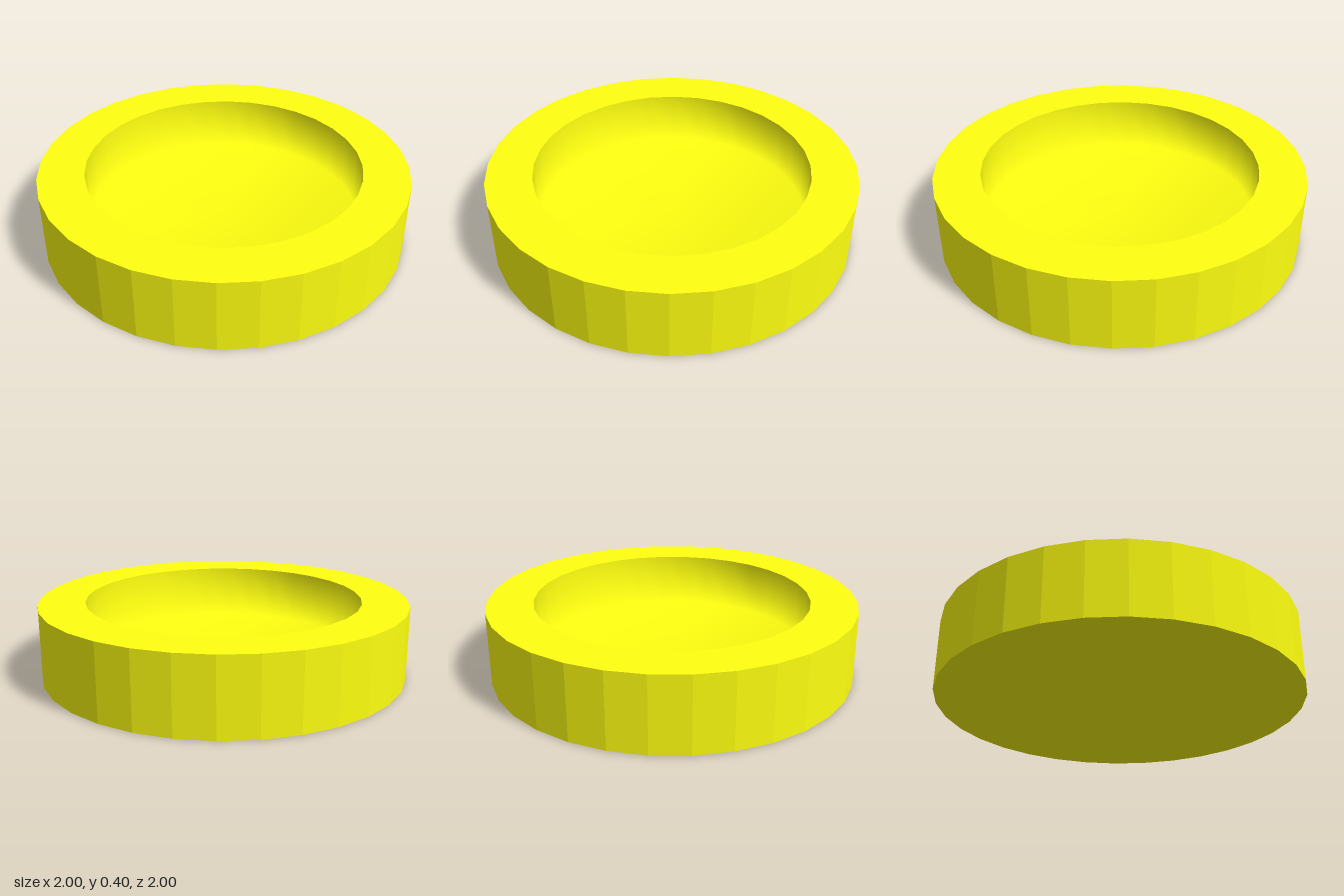
import * as THREE from 'three';

const SIDES = 32;
const HEIGHT = 0.4;
const RIM = 0.75;
const FLOOR = 0.1;
const CORNER_TILT = 0.22;

function lathe(points) {
  return new THREE.LatheGeometry(points.map(([r, y]) => new THREE.Vector2(r, y)), SIDES);
}

export function createModel() {
  const group = new THREE.Group();
  group.name = 'dish';
  const color = 0xffff10;

  // Faceted body: underside, outer wall and flat rim
  const body = new THREE.Mesh(
    lathe([[0, 0], [1, 0], [1, HEIGHT], [RIM, HEIGHT]]),
    new THREE.MeshStandardMaterial({ color, flatShading: true })
  );
  body.name = 'body';

  // Round recess: straight wall and flat floor, shaded smoothly as one surface
  const profile = [[RIM, HEIGHT], [RIM, FLOOR], [0, FLOOR]];
  const hollow = lathe(profile);
  const { position, normal } = hollow.attributes;

  // Lean the corner normals towards the floor so that it shades nearly flat
  const s = Math.sin(CORNER_TILT) / RIM;
  for (let i = 1; i < position.count; i += profile.length) {
    normal.setXYZ(i, -position.getX(i) * s, Math.cos(CORNER_TILT), -position.getZ(i) * s);
  }
  const recess = new THREE.Mesh(hollow, new THREE.MeshStandardMaterial({ color }));
  recess.name = 'recess';

  group.add(body, recess);
  return group;
}
